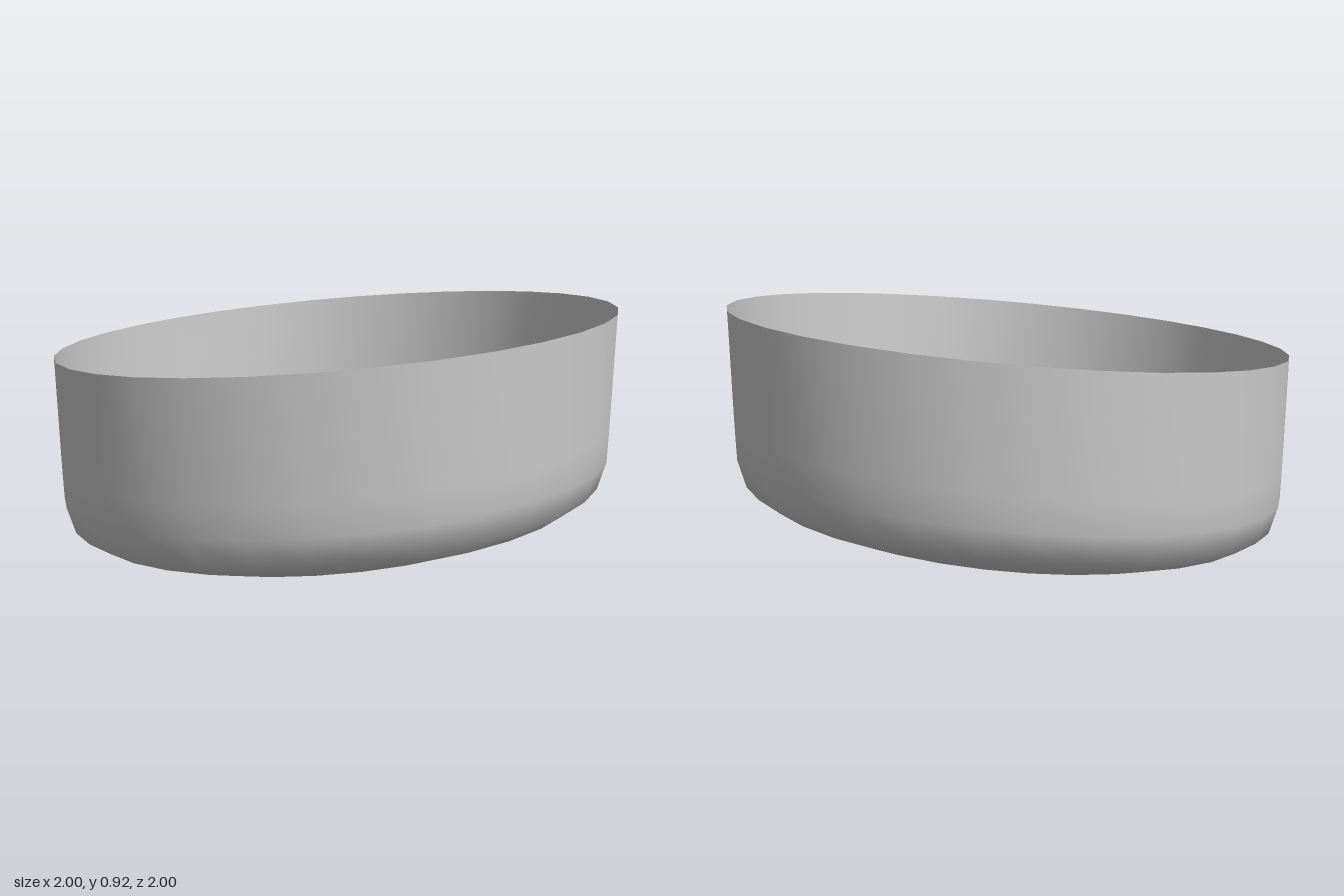
import * as THREE from 'three';
import { mergeVertices } from 'three/addons/utils/BufferGeometryUtils.js';

export function createModel() {
  const group = new THREE.Group();
  group.name = 'bowl';

  // Shallow parabolic floor, then a rounded corner and a nearly upright wall
  const profile = [0, 0.2, 0.4, 0.6, 0.75, 0.88].map(
    (r) => new THREE.Vector2(r, 0.01 + 0.2 * r * r));
  for (const [r, y] of [[0.955, 0.215], [0.985, 0.31], [0.99, 0.42], [1.004, 0.828]]) {
    profile.push(new THREE.Vector2(r, y));
  }

  const lathe = new THREE.LatheGeometry(profile, 32, Math.PI / 32);
  const pos = lathe.attributes.position;

  // Slant the bowl: heights rise to the left and back, walls stay upright
  for (let i = 0; i < pos.count; i++) {
    pos.setY(i, pos.getY(i) + 0.078 * pos.getX(i) - 0.042 * pos.getZ(i));
  }

  // Weld the seam so the shading is smooth all round
  lathe.deleteAttribute('normal');
  lathe.deleteAttribute('uv');
  const shell = mergeVertices(lathe, 1e-4);
  shell.computeVertexNormals();

  // Stand the lowest point on the ground
  shell.computeBoundingBox();
  shell.translate(0, -shell.boundingBox.min.y, 0);

  const mesh = new THREE.Mesh(shell, new THREE.MeshStandardMaterial({
    color: 0xcccccc, side: THREE.DoubleSide,
  }));
  mesh.name = 'bowlShell';
  group.add(mesh);
  return group;
}
